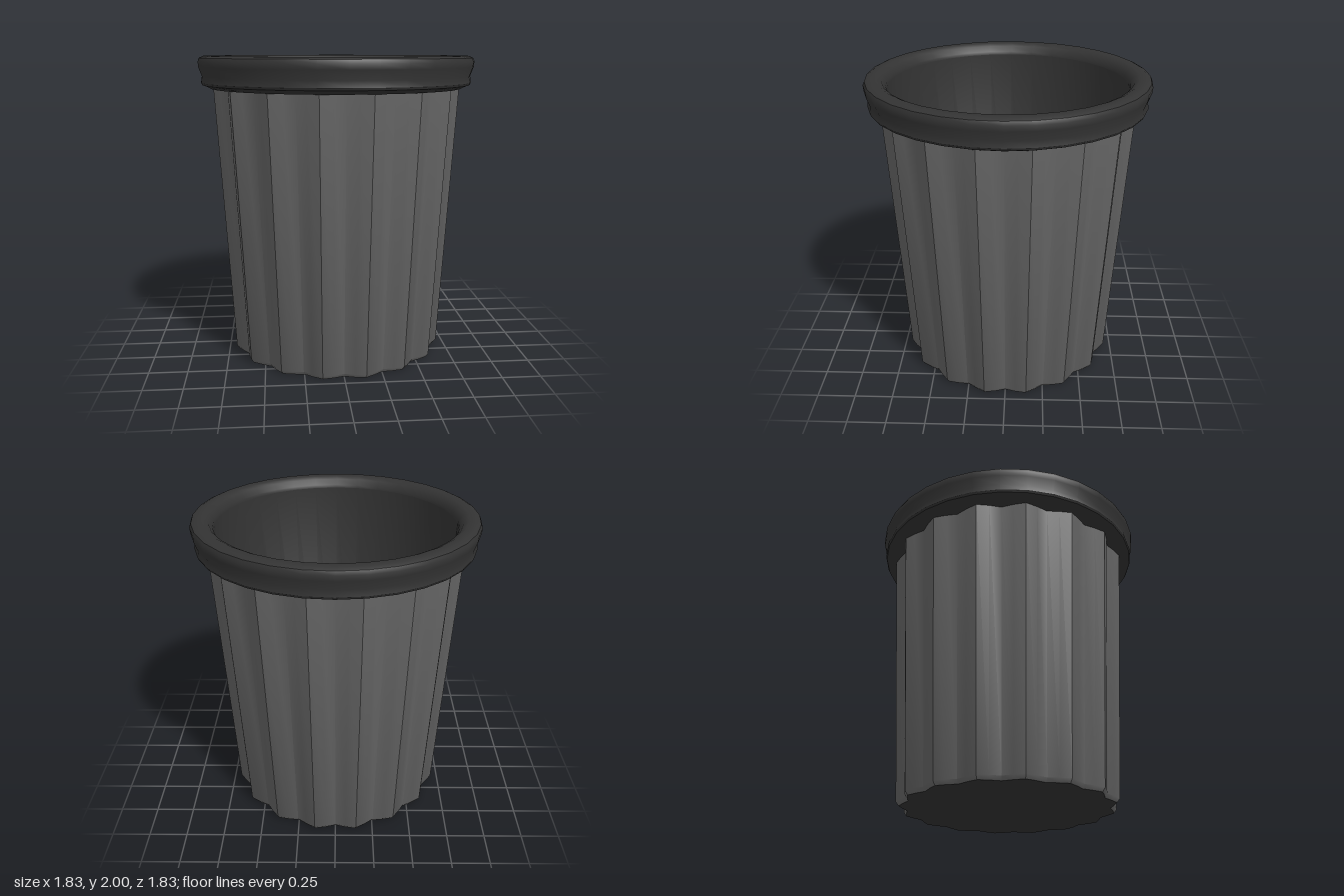
import * as THREE from 'three';
import { toCreasedNormals } from 'three/addons/utils/BufferGeometryUtils.js';

const FLUTES = 16;
const FLUTE_DEPTH = 0.065; // share of the radius lost in each groove

const grey = new THREE.MeshStandardMaterial({ color: 0x666666 });
const dark = new THREE.MeshStandardMaterial({ color: 0x333333 });

// Turned shape from [radius, height] pairs; outer walls run upward
function turned(profile, sides) {
  return new THREE.LatheGeometry(profile.map(([r, y]) => new THREE.Vector2(r, y)), sides);
}

// Press evenly spaced vertical grooves into a turned shape
function flute(geometry) {
  const p = geometry.attributes.position;
  for (let i = 0; i < p.count; i++) {
    const angle = Math.atan2(p.getX(i), p.getZ(i));
    const k = 1 - (FLUTE_DEPTH / 2) * (1 + Math.cos(FLUTES * angle));
    p.setXYZ(i, p.getX(i) * k, p.getY(i), p.getZ(i) * k);
  }
  return geometry;
}

function addPart(group, name, geometry, material) {
  const mesh = new THREE.Mesh(toCreasedNormals(geometry, 0.6), material);
  mesh.name = name;
  group.add(mesh);
}

export function createModel() {
  const group = new THREE.Group();
  group.name = 'wasteBin';

  // Fluted tapering wall with a small chamfer at the foot
  addPart(group, 'flutedWall',
    flute(turned([[0.695, 0], [0.714, 0.025], [0.822, 1.82]], FLUTES * 4)), grey);

  // Flat underside following the flutes
  addPart(group, 'underside', flute(turned([[0, 0], [0.695, 0]], FLUTES * 4)), dark);

  // Rolled rim: under the lip, round the outside, over the top and into the mouth
  addPart(group, 'rim', turned([
    [0.765, 1.79], [0.83, 1.79], [0.87, 1.81], [0.89, 1.815], [0.897, 1.83],
    [0.89, 1.87], [0.912, 1.93], [0.915, 1.965], [0.905, 1.988], [0.88, 2],
    [0.83, 2], [0.8, 1.985], [0.775, 1.95], [0.772, 1.93],
  ], 32), dark);

  // Smooth inner wall and floor
  addPart(group, 'liner', turned([
    [0.772, 1.93], [0.668, 0.07], [0.65, 0.045], [0, 0.045],
  ], 32), dark);

  return group;
}
